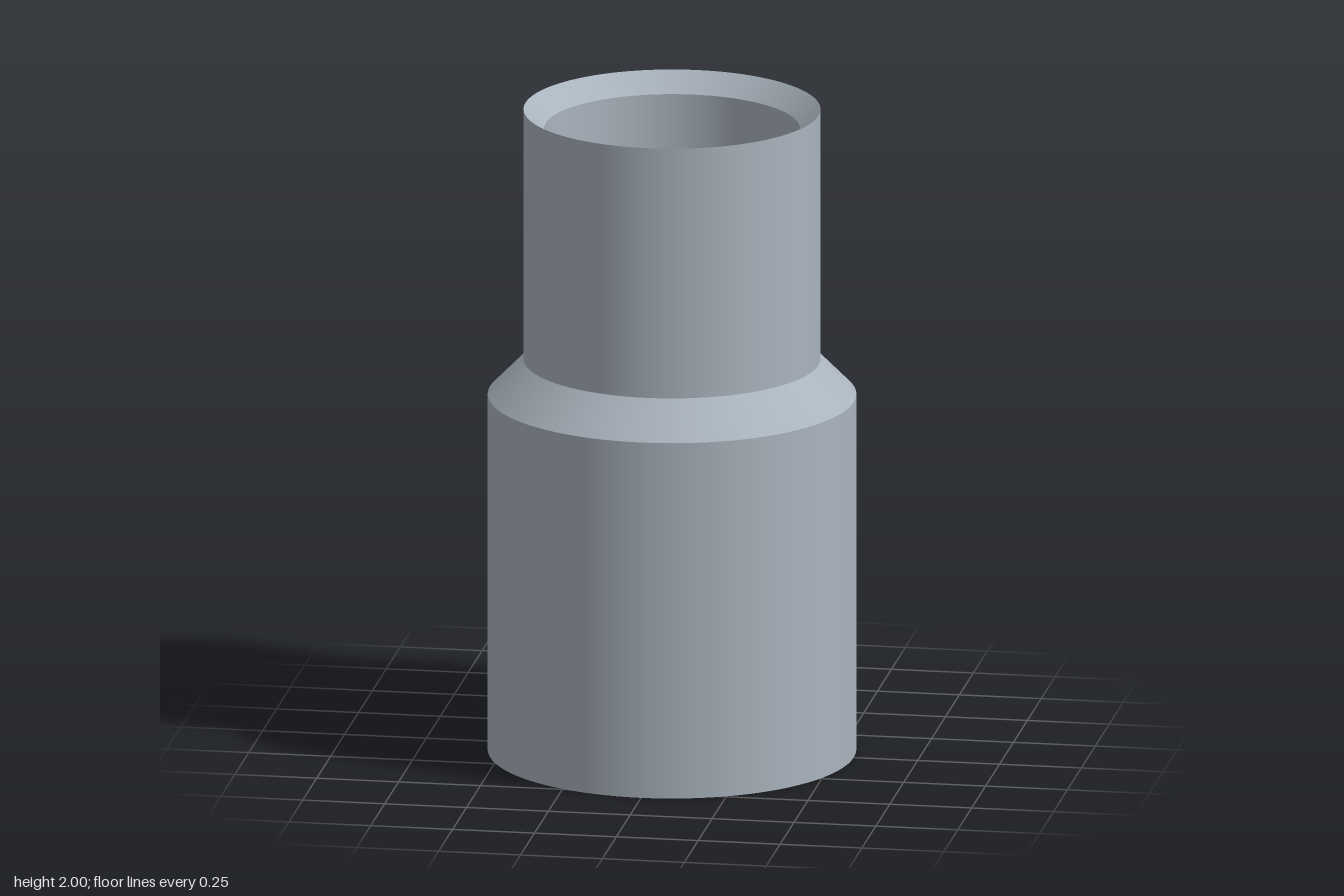
import * as THREE from 'three';

export function createModel() {
  const group = new THREE.Group();
  group.name = 'pipeReducer';
  const steel = new THREE.MeshStandardMaterial({ color: 0xaab4be });
  steel.name = 'greySteel';

  // Closed wall section, [radius, height]: up the outside, down the bore.
  // Each band is its own lathe, so the edges between bands stay sharp.
  const section = [
    ['socketWall', 0.555, 0],
    ['shoulder', 0.555, 1.11],
    ['neckWall', 0.447, 1.22],
    ['rimBevel', 0.447, 2],
    ['neckBore', 0.385, 1.94],
    ['boreTaper', 0.385, 1.22],
    ['socketBore', 0.512, 0.89],
    ['bottomRim', 0.512, 0],
  ];

  section.forEach(([name, r, y], i) => {
    const [, r2, y2] = section[(i + 1) % section.length];
    const band = [new THREE.Vector2(r, y), new THREE.Vector2(r2, y2)];
    const mesh = new THREE.Mesh(new THREE.LatheGeometry(band, 96), steel);
    mesh.name = name;
    group.add(mesh);
  });

  return group;
}
